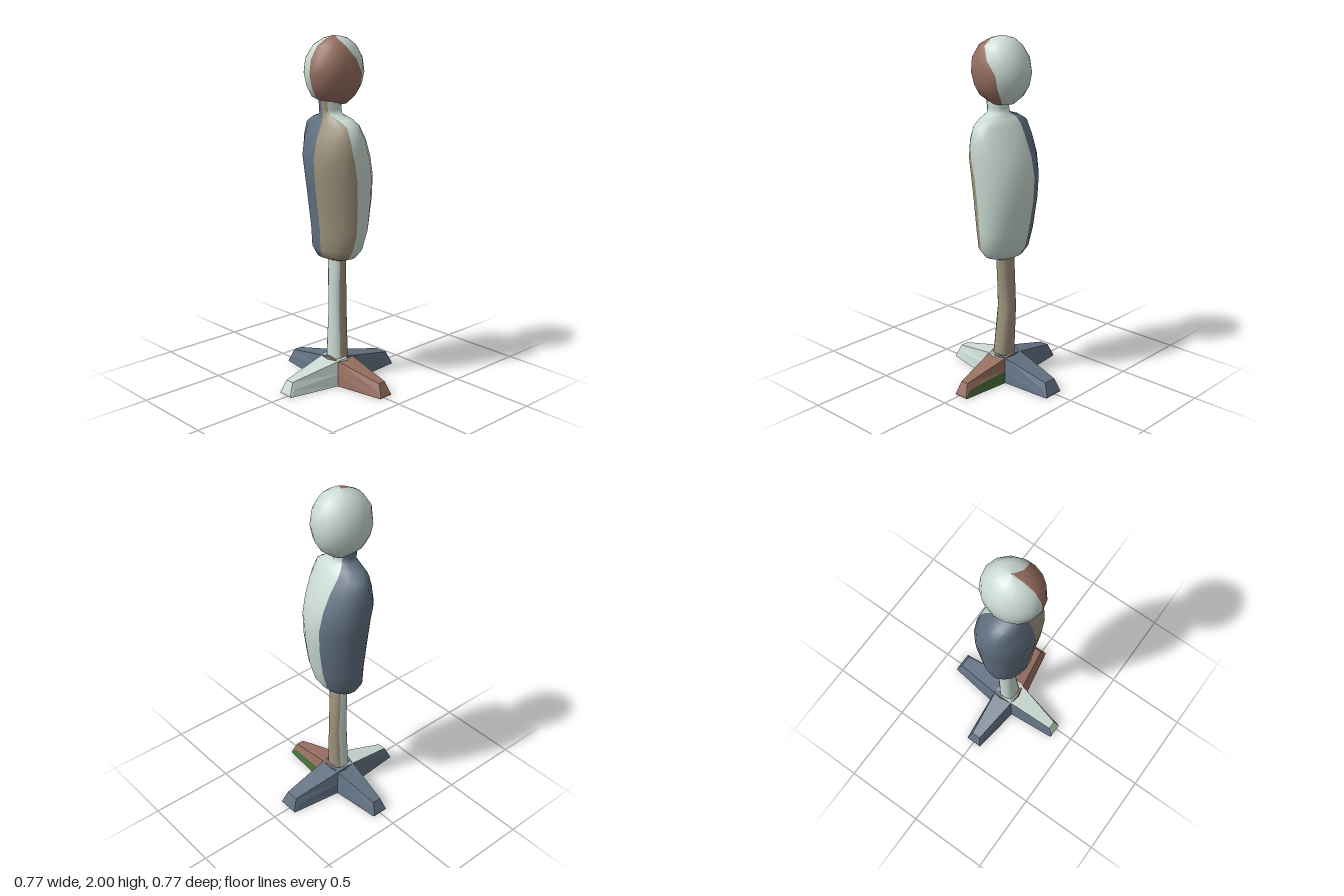
import * as THREE from 'three';

const makeMaterial = (name, color) => {
  const m = new THREE.MeshStandardMaterial({ color });
  m.name = name;
  return m;
};

// Builds one smooth skin through oval rings, split into coloured sectors.
// ring: [y, xMin, xMax, zBack, zFront, sector edges in degrees from the front towards +x]
function loft(name, rings, materials, segments, roundness = 1) {
  const positions = [], index = [];
  const count = segments.reduce((a, b) => a + b, 0);
  for (const [y, x0, x1, z0, z1, edges] of rings) {
    segments.forEach((n, s) => {
      const from = edges[s];
      const to = s + 1 < edges.length ? edges[s + 1] : edges[0] + 360;
      for (let k = 0; k < n; k++) {
        const a = THREE.MathUtils.degToRad(from + (to - from) * k / n);
        const bend = v => Math.sign(v) * Math.abs(v) ** roundness;
        positions.push(
          (x0 + x1) / 2 + (x1 - x0) / 2 * bend(Math.sin(a)), y,
          (z0 + z1) / 2 + (z1 - z0) / 2 * bend(Math.cos(a)));
      }
    });
  }
  const geometry = new THREE.BufferGeometry();
  let column = 0;
  segments.forEach((n, s) => {
    const start = index.length;
    for (let k = 0; k < n; k++, column++) {
      const next = (column + 1) % count;
      for (let i = 0; i + 1 < rings.length; i++) {
        const a = i * count + column, b = i * count + next;
        index.push(a, b, b + count, a, b + count, a + count);
      }
    }
    geometry.addGroup(start, index.length - start, s);
  });
  geometry.setAttribute('position', new THREE.Float32BufferAttribute(positions, 3));
  geometry.setIndex(index);
  geometry.computeVertexNormals();
  const mesh = new THREE.Mesh(geometry, materials);
  mesh.name = name;
  return mesh;
}

// Tapered foot along +x; materials run: low side, upper side, top, upper side, low side, sole, tip
function foot(name, [baseLo, baseHi, tipLo, tipHi], materials, turn) {
  const sections = [[0, 0.155], [0.06, 0.142], [0.355, 0.078], [0.385, 0.012]].map(([r, h], i) => {
    const t = (r - 0.2) / 0.185;
    const lo = baseLo + (tipLo - baseLo) * t, hi = baseHi + (tipHi - baseHi) * t;
    const inset = i === 3 ? 0.006 : 0.026;
    return [[lo, 0], [lo + inset * 0.4, h * 0.5], [lo + inset, h],
      [hi - inset, h], [hi - inset * 0.4, h * 0.5], [hi, 0]].map(([z, y]) => [r, y, z]);
  });
  const positions = [];
  const geometry = new THREE.BufferGeometry();
  for (let e = 0; e < 6; e++) {
    const start = positions.length / 3, f = (e + 1) % 6;
    for (let i = 0; i < 3; i++) {
      const p = sections[i], q = sections[i + 1];
      positions.push(...p[e], ...p[f], ...q[f], ...p[e], ...q[f], ...q[e]);
    }
    geometry.addGroup(start, 18, e);
  }
  const tip = sections[3], start = positions.length / 3;
  for (let i = 1; i < 5; i++) positions.push(...tip[0], ...tip[i], ...tip[i + 1]);
  geometry.addGroup(start, 12, 6);
  geometry.setAttribute('position', new THREE.Float32BufferAttribute(positions, 3));
  geometry.computeVertexNormals();
  const mesh = new THREE.Mesh(geometry, materials);
  mesh.name = name;
  mesh.rotation.y = turn;
  return mesh;
}

export function createModel() {
  const pale = makeMaterial('paleGreenGrey', 0xcadad2);
  const slate = makeMaterial('slateBlue', 0x627182);
  const tan = makeMaterial('tan', 0x9e937c);
  const brown = makeMaterial('redBrown', 0x976f60);
  const green = makeMaterial('green', 0x466f38);

  const model = new THREE.Group();
  model.name = 'dummyOnStand';

  // Head: brown on the left of the face, pale elsewhere
  model.add(loft('head', [
    [1.622, -0.002, 0.002, 0.018, 0.022, [0, 125]],
    [1.63, -0.06, 0.06, -0.05, 0.08, [0, 125]],
    [1.675, -0.11, 0.11, -0.105, 0.16, [0, 125]],
    [1.73, -0.14, 0.14, -0.135, 0.188, [0, 120]],
    [1.80, -0.152, 0.155, -0.15, 0.205, [0, 118]],
    [1.88, -0.145, 0.15, -0.14, 0.195, [0, 100]],
    [1.95, -0.105, 0.115, -0.095, 0.15, [0, 82]],
    [1.985, -0.06, 0.065, -0.05, 0.085, [0, 60]],
    [2.0, -0.002, 0.002, 0.018, 0.022, [0, 60]],
  ], [brown, pale], [5, 10]));

  // Torso, shoulders and neck: tan chest side, pale flank and back, slate right half
  model.add(loft('torsoAndNeck', [
    [0.733, -0.002, 0.002, 0, 0.004, [-2, 75, 195]],
    [0.737, -0.06, 0.06, -0.04, 0.05, [-2, 75, 195]],
    [0.76, -0.125, 0.13, -0.085, 0.105, [-2, 74, 195]],
    [0.81, -0.158, 0.168, -0.12, 0.13, [-2, 75, 195]],
    [0.92, -0.172, 0.19, -0.15, 0.135, [-2, 77, 195]],
    [1.10, -0.188, 0.202, -0.178, 0.157, [-2, 76, 195]],
    [1.23, -0.2, 0.21, -0.182, 0.172, [-1, 75, 195]],
    [1.34, -0.21, 0.215, -0.155, 0.18, [0, 72, 195]],
    [1.44, -0.203, 0.212, -0.11, 0.16, [0, 66, 197]],
    [1.52, -0.188, 0.19, -0.062, 0.13, [2, 60, 200]],
    [1.552, -0.135, 0.14, -0.04, 0.118, [3, 50, 205]],
    [1.575, -0.065, 0.067, -0.012, 0.112, [2, 40, 212]],
    [1.605, -0.06, 0.062, -0.01, 0.115, [0, 35, 215]],
    [1.66, -0.06, 0.065, -0.01, 0.122, [0, 35, 215]],
  ], [tan, pale, slate], [4, 6, 8]));

  // Slightly bent pole: tan on the left and behind, pale in front
  const poleEdges = [62, 242];
  model.add(loft('pole', [
    [0.06, -0.065, 0.08, -0.055, 0.065, poleEdges],
    [0.16, -0.06, 0.068, -0.05, 0.06, poleEdges],
    [0.44, -0.055, 0.042, -0.06, 0.045, poleEdges],
    [0.58, -0.058, 0.048, -0.052, 0.045, poleEdges],
    [0.76, -0.06, 0.056, -0.04, 0.045, poleEdges],
  ], [tan, pale], [6, 6], 0.85));

  // Crossed feet with brown soles
  model.add(
    foot('leftFoot', [-0.075, 0.065, -0.06, 0.03],
      [green, brown, brown, brown, brown, brown, brown], 0),
    foot('frontFoot', [-0.07, 0.08, -0.03, 0.065],
      [pale, pale, pale, slate, slate, brown, pale], -Math.PI / 2),
    foot('rightFoot', [-0.075, 0.07, -0.05, 0.05],
      [slate, slate, slate, slate, slate, brown, slate], Math.PI),
    foot('backFoot', [-0.075, 0.085, -0.05, 0.075],
      [slate, slate, slate, slate, slate, brown, slate], Math.PI / 2));

  return model;
}
